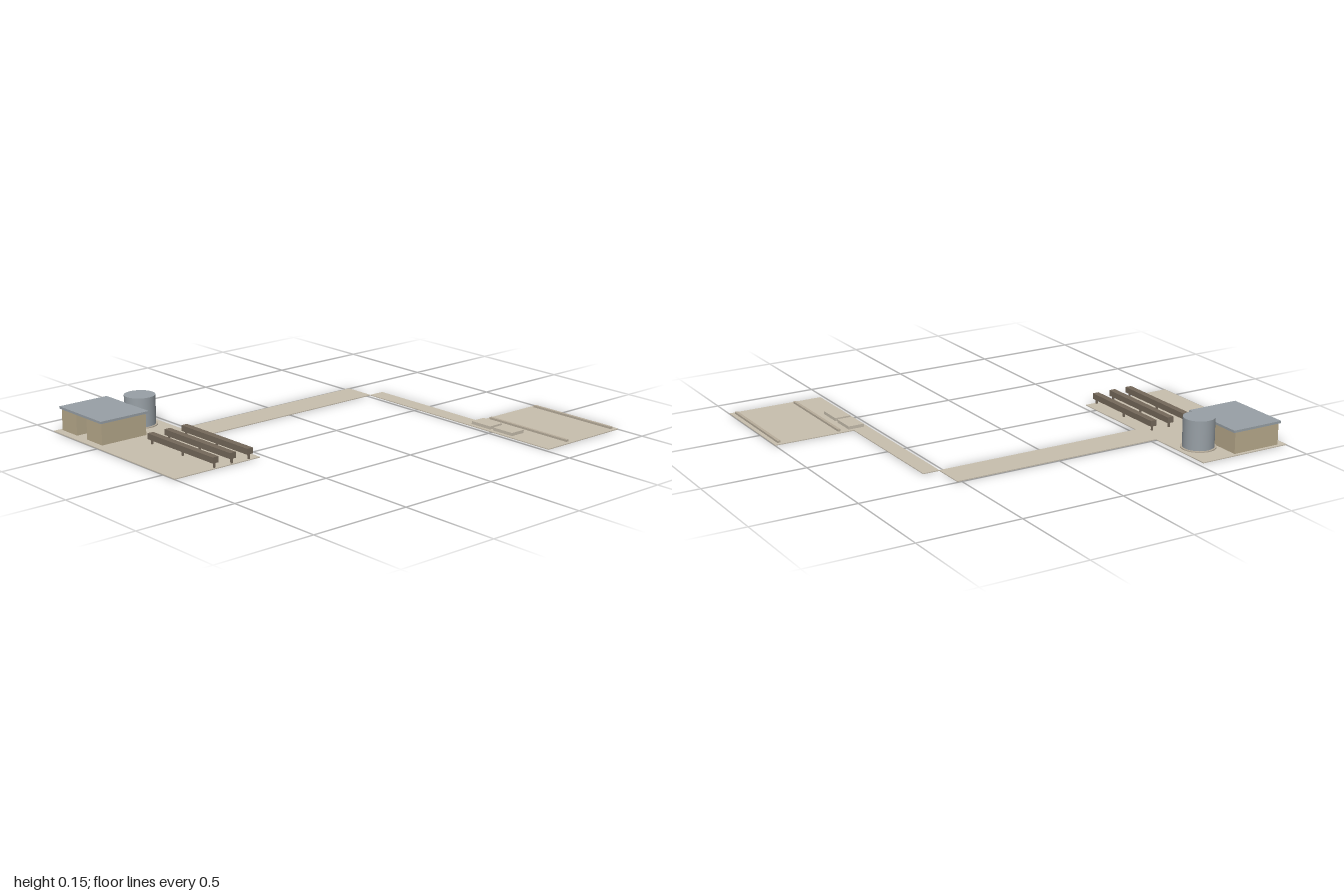
import * as THREE from 'three';

const mat = (color) => new THREE.MeshStandardMaterial({ color });

export function createModel() {
  const root = new THREE.Group();
  const paving = mat(0xc8bfae), wall = mat(0xb8aa8c), metal = mat(0x98a0a6);
  const timber = mat(0x75695b), kerbMat = mat(0xb9ae9c);
  const G = 0.004; // paving thickness

  // Box given by its extents on each axis
  const block = (parent, name, m, [x0, x1], [y0, y1], [z0, z1]) => {
    const mesh = new THREE.Mesh(new THREE.BoxGeometry(x1 - x0, y1 - y0, z1 - z0), m);
    mesh.position.set((x0 + x1) / 2, (y0 + y1) / 2, (z0 + z1) / 2);
    mesh.name = name;
    parent.add(mesh);
    return mesh;
  };
  const group = (name) => {
    const g = new THREE.Group();
    g.name = name;
    root.add(g);
    return g;
  };

  // Two yards joined by an angled path
  const ground = group('ground');
  block(ground, 'mainYard', paving, [-0.857, 0.086], [0, G], [0.53, 1]);
  block(ground, 'longPath', paving, [-0.496, -0.336], [0, G], [-0.52, 0.53]);
  block(ground, 'crossPath', paving, [-0.336, 0.334], [0, G], [-0.6, -0.52]);
  block(ground, 'farYard', paving, [0.334, 0.857], [0, G], [-1, -0.52]);

  // Building: two rooms beside a recessed entrance, under a flat roof
  const building = group('building');
  const front = 0.962, back = 0.716, top = 0.108;
  block(building, 'rightRoom', wall, [-0.84, -0.72], [0, top], [back, front]);
  block(building, 'leftRoom', wall, [-0.637, -0.517], [0, top], [back, front]);
  block(building, 'recessWall', wall, [-0.72, -0.637], [0, top], [back, back + 0.02]);
  block(building, 'recessStep', wall, [-0.714, -0.643], [G, 0.01], [back + 0.02, back + 0.08]);
  block(building, 'recessDoor', metal, [-0.688, -0.668], [0.01, 0.046], [back + 0.02, back + 0.028]);
  block(building, 'roof', metal, [-0.848, -0.51], [top, 0.119], [0.704, 0.97]);

  // Water tank on a round base
  const tank = group('tank');
  const drum = (name, m, r, y0, y1) => {
    const mesh = new THREE.Mesh(new THREE.CylinderGeometry(r, r, y1 - y0, 32), m);
    mesh.position.set(-0.678, (y0 + y1) / 2, 0.634);
    mesh.name = name;
    tank.add(mesh);
  };
  drum('tankBase', kerbMat, 0.083, 0, 0.009);
  drum('tankBody', metal, 0.074, 0.009, 0.15);

  // Three long troughs raised on thin posts
  const troughs = group('troughs');
  for (const z of [0.586, 0.682, 0.778]) {
    block(troughs, 'trough', timber, [-0.398, 0.086], [0.028, 0.056], [z - 0.016, z + 0.016]);
    for (const x of [-0.385, -0.155, 0.075])
      block(troughs, 'troughPost', timber, [x - 0.004, x + 0.004], [G, 0.028], [z - 0.004, z + 0.004]);
  }

  // Low rails and two slabs in the far yard
  const far = group('farYardFittings');
  for (const z of [-0.973, -0.667])
    block(far, 'rail', kerbMat, [0.352, 0.838], [G, 0.014], [z - 0.007, z + 0.007]);
  for (const x of [0.412, 0.552])
    block(far, 'slab', paving, [x - 0.06, x + 0.06], [G, 0.019], [-0.618, -0.539]);

  return root;
}
